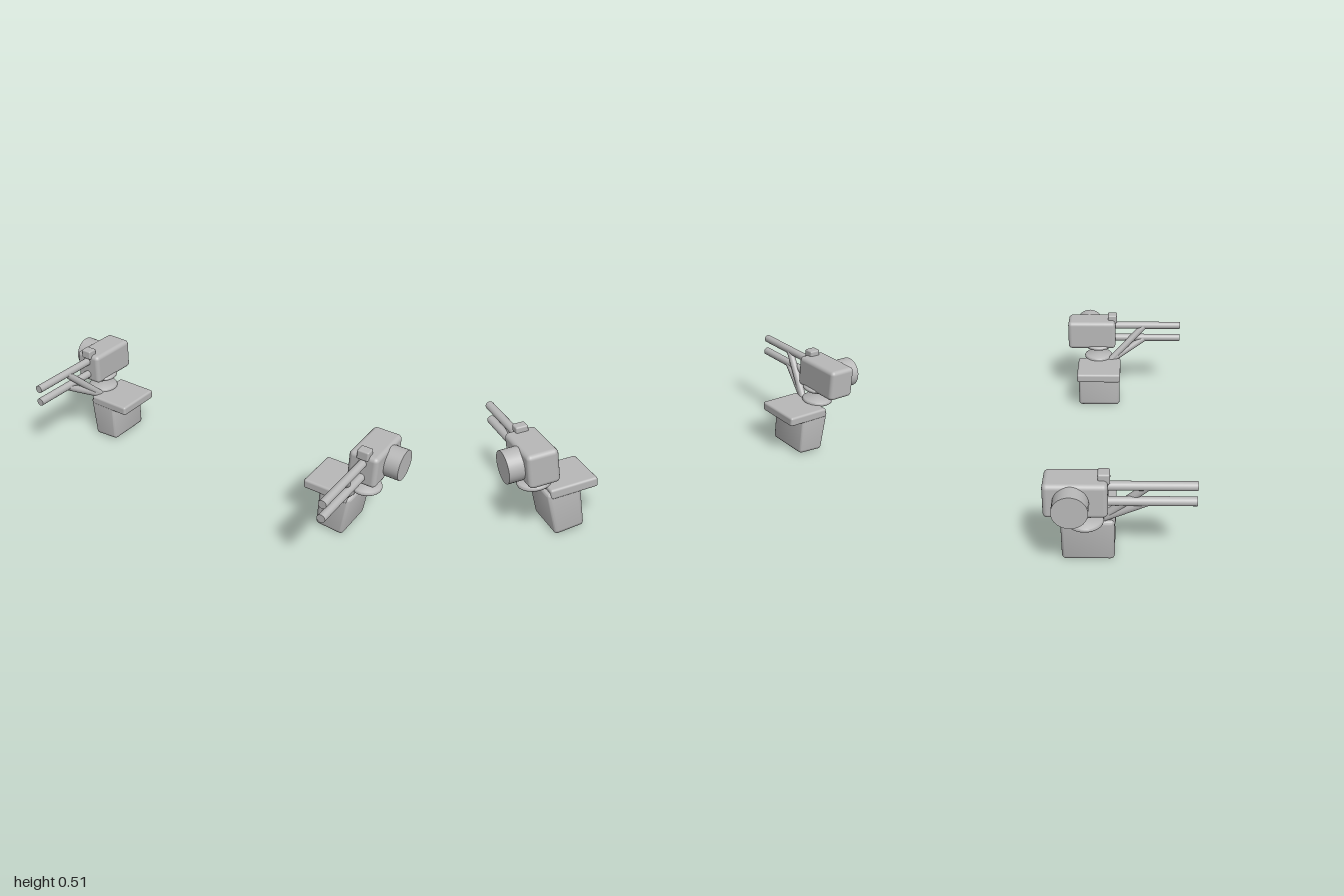
import * as THREE from 'three';
import { toCreasedNormals } from 'three/addons/utils/BufferGeometryUtils.js';
import { RoundedBoxGeometry } from 'three/addons/geometries/RoundedBoxGeometry.js';

const grey = new THREE.MeshStandardMaterial({ color: 0xb8b8b8 });
grey.name = 'plain grey';

function add(group, name, geometry, x = 0, y = 0, z = 0) {
  const mesh = new THREE.Mesh(geometry, grey);
  mesh.name = name;
  mesh.position.set(x, y, z);
  group.add(mesh);
  return mesh;
}

// Round bar between two points
function bar(group, name, a, b, radius, sides = 24) {
  const from = new THREE.Vector3(...a);
  const dir = new THREE.Vector3(...b).sub(from);
  const mesh = add(group, name, new THREE.CylinderGeometry(radius, radius, dir.length(), sides));
  mesh.position.copy(from).addScaledVector(dir, 0.5);
  mesh.quaternion.setFromUnitVectors(new THREE.Vector3(0, 1, 0), dir.normalize());
  return mesh;
}

// Flat disc with a rounded rim, standing on y = 0
function discGeometry(r, h) {
  const profile = [[0, 0], [r - 0.007, 0], [r - 0.002, h * 0.2], [r, h * 0.5],
    [r - 0.002, h * 0.8], [r - 0.007, h], [0, h]].map(([x, y]) => new THREE.Vector2(x, y));
  return toCreasedNormals(new THREE.LatheGeometry(profile, 40), 0.9);
}

// Rounded box that narrows towards the bottom
function taperedBox(w, h, d, bottom) {
  const geometry = new RoundedBoxGeometry(w, h, d, 3, 0.02);
  const p = geometry.attributes.position;
  for (let i = 0; i < p.count; i++) {
    const t = p.getY(i) / h + 0.5;
    p.setX(i, p.getX(i) * THREE.MathUtils.lerp(bottom, 1, t));
  }
  geometry.computeVertexNormals();
  return toCreasedNormals(geometry, 0.7);
}

// One gun mount; s = 1 for the left side, -1 for the right
function createMount(s) {
  const mount = new THREE.Group();
  mount.name = s > 0 ? 'leftMount' : 'rightMount';

  // Base: leaning tapered block and the shelf reaching inwards
  const base = add(mount, 'baseBlock', taperedBox(0.172, 0.23, 0.24, 0.87), s * 0.733, 0.12, -0.146);
  base.rotation.z = -0.065 * s;
  add(mount, 'shelf', new RoundedBoxGeometry(0.238, 0.05, 0.25, 3, 0.012), s * 0.689, 0.224, -0.146);

  // Turntable with a ring of bolts beneath, and the disc under the housing
  const cx = s * 0.84, cz = -0.153;
  add(mount, 'turntable', discGeometry(0.082, 0.023), cx, 0.24, cz);
  for (let i = 0; i < 6; i++) {
    const a = i * Math.PI / 3;
    add(mount, 'bolt', new THREE.CylinderGeometry(0.007, 0.007, 0.014, 10),
      cx + Math.cos(a) * 0.054, 0.238, cz + Math.sin(a) * 0.054);
  }
  add(mount, 'upperDisc', discGeometry(0.083, 0.02), cx, 0.315, cz);

  // Housing, side drum and sight
  add(mount, 'housing', new RoundedBoxGeometry(0.15, 0.166, 0.277, 3, 0.022), s * 0.852, 0.401, -0.19);
  bar(mount, 'drum', [s * 0.9, 0.4, -0.208], [s, 0.4, -0.208], 0.078, 32);
  add(mount, 'sight', new RoundedBoxGeometry(0.06, 0.05, 0.053, 2, 0.008), s * 0.852, 0.487, -0.069);

  // Two barrels, each with a strut down to the base
  for (const [y, z] of [[0.441, 0.115], [0.363, 0.115]]) {
    bar(mount, 'barrel', [s * 0.853, y, -0.1], [s * 0.853, y, 0.33], 0.021);
    bar(mount, 'strut', [s * 0.85, y - 0.006, z], [s * 0.798, 0.232, -0.088], 0.019);
  }
  return mount;
}

export function createModel() {
  const model = new THREE.Group();
  model.name = 'twinMounts';
  model.add(createMount(1), createMount(-1));
  return model;
}
